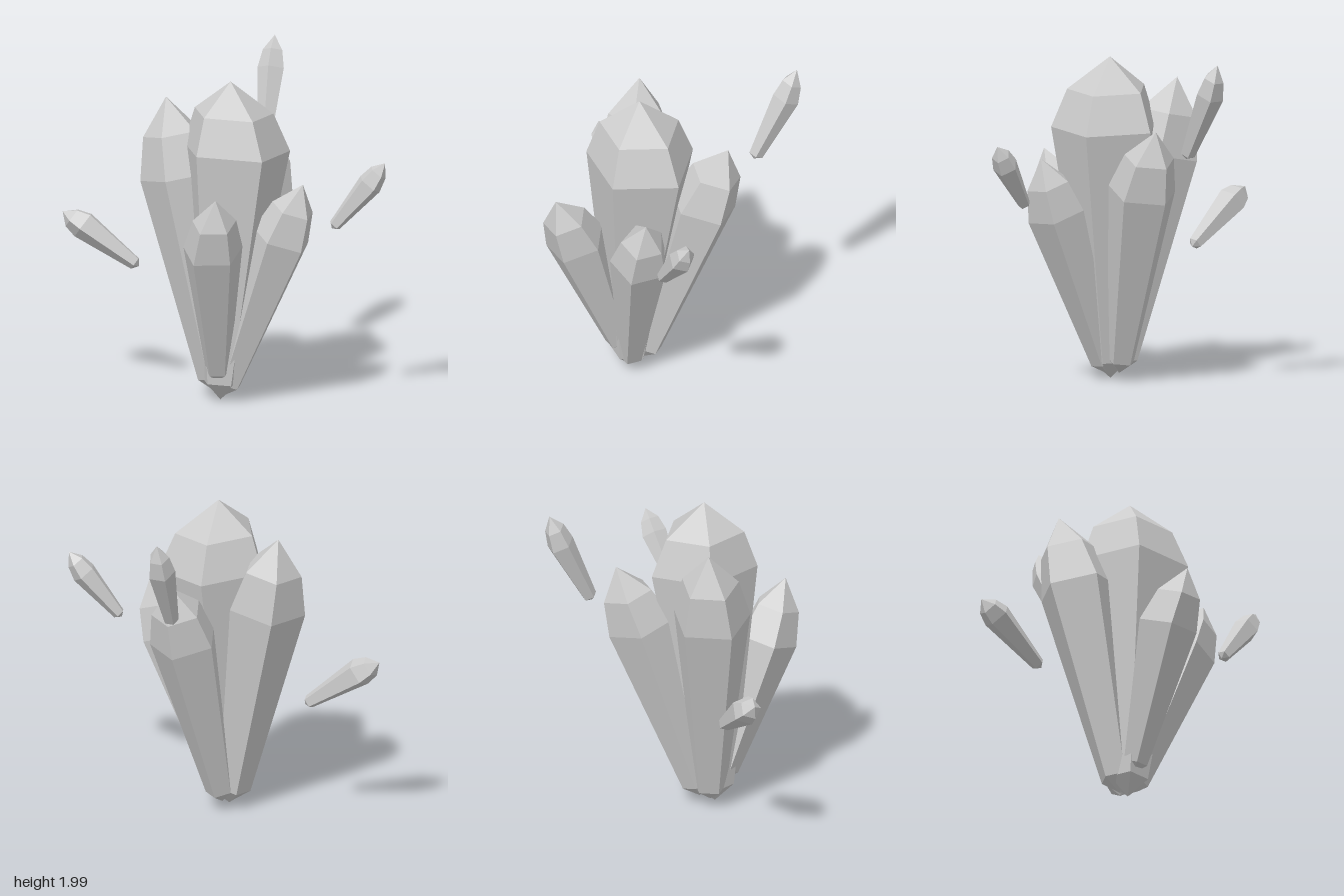
import * as THREE from 'three';

const SIDES = 5;

// Five-sided crystal: blunt root point, flaring shaft, shoulder ring, upper ring, tip
function crystal(name, { root, shoulder, tip, radius, rootRadius, phase }, material) {
  const a = new THREE.Vector3(...root);
  const b = new THREE.Vector3(...shoulder);
  const c = new THREE.Vector3(...tip);
  const axis = b.clone().sub(a).normalize();
  const tilt = new THREE.Quaternion().setFromUnitVectors(new THREE.Vector3(0, 1, 0), axis);
  const start = THREE.MathUtils.degToRad(phase);

  const ring = (centre, r) => Array.from({ length: SIDES }, (_, i) => {
    const t = start + (i / SIDES) * Math.PI * 2;
    return new THREE.Vector3(Math.cos(t) * r, 0, Math.sin(t) * r).applyQuaternion(tilt).add(centre);
  });
  const rings = [
    ring(a, 0),
    ring(a.clone().lerp(b, 0.07), rootRadius),
    ring(b, radius),
    ring(b.clone().lerp(c, 0.54), radius * 0.74),
    ring(c, 0),
  ];

  const points = [];
  for (let k = 0; k < rings.length - 1; k++) {
    for (let i = 0; i < SIDES; i++) {
      const j = (i + 1) % SIDES;
      const [p, q, r, s] = [rings[k][i], rings[k][j], rings[k + 1][j], rings[k + 1][i]];
      if (k < rings.length - 2) points.push(p, s, r);
      if (k > 0) points.push(p, r, q);
    }
  }
  // The last band closes on the tip
  const last = rings.length - 2;
  const geometry = new THREE.BufferGeometry().setFromPoints(points.filter(Boolean));
  geometry.computeVertexNormals();
  const mesh = new THREE.Mesh(geometry, material);
  mesh.name = name;
  mesh.userData.bands = last + 1;
  return mesh;
}

// Crystals growing from a common root
const CLUSTER = {
  mainCrystal: { root: [0, 0.01, 0.26], shoulder: [0.075, 1.53, 0.205], tip: [0.05, 1.95, 0.21], radius: 0.335, rootRadius: 0.12, phase: 46 },
  leftLeaningCrystal: { root: [-0.03, 0.04, 0.22], shoulder: [-0.28, 1.34, 0.14], tip: [-0.38, 1.8, 0.09], radius: 0.24, rootRadius: 0.1, phase: 24 },
  rightLeaningCrystal: { root: [0.03, 0.04, 0.26], shoulder: [0.39, 1.03, 0.3], tip: [0.52, 1.37, 0.3], radius: 0.18, rootRadius: 0.075, phase: 32 },
  frontCrystal: { root: [0, 0.14, 0.31], shoulder: [0.045, 1.0, 0.6], tip: [0.1, 1.35, 0.74], radius: 0.185, rootRadius: 0.075, phase: 41 },
  backCrystal: { root: [0.01, 0.05, 0.17], shoulder: [0.12, 1.18, -0.16], tip: [0.15, 1.56, -0.31], radius: 0.21, rootRadius: 0.085, phase: -17 },
};

// Small shards hovering around the cluster
const SHARDS = {
  shardAtMinusX: { root: [-0.535, 0.76, 0.13], shoulder: [-0.87, 1.0, 0.155], tip: [-0.995, 1.075, 0.17], radius: 0.09, rootRadius: 0.042, phase: 20 },
  shardAtPlusX: { root: [0.685, 1.1, 0.25], shoulder: [0.9, 1.37, 0.19], tip: [0.99, 1.5, 0.165], radius: 0.078, rootRadius: 0.038, phase: 50 },
  shardAtBack: { root: [0.07, 1.41, -0.49], shoulder: [0.06, 1.81, -0.69], tip: [0.06, 2.0, -0.76], radius: 0.085, rootRadius: 0.045, phase: 18 },
};

export function createModel() {
  const model = new THREE.Group();
  model.name = 'crystalCluster';
  const material = new THREE.MeshStandardMaterial({ color: 0xcccccc, flatShading: true });
  for (const [groupName, set] of Object.entries({ cluster: CLUSTER, floatingShards: SHARDS })) {
    const group = new THREE.Group();
    group.name = groupName;
    for (const [name, spec] of Object.entries(set)) group.add(crystal(name, spec, material));
    model.add(group);
  }
  return model;
}
